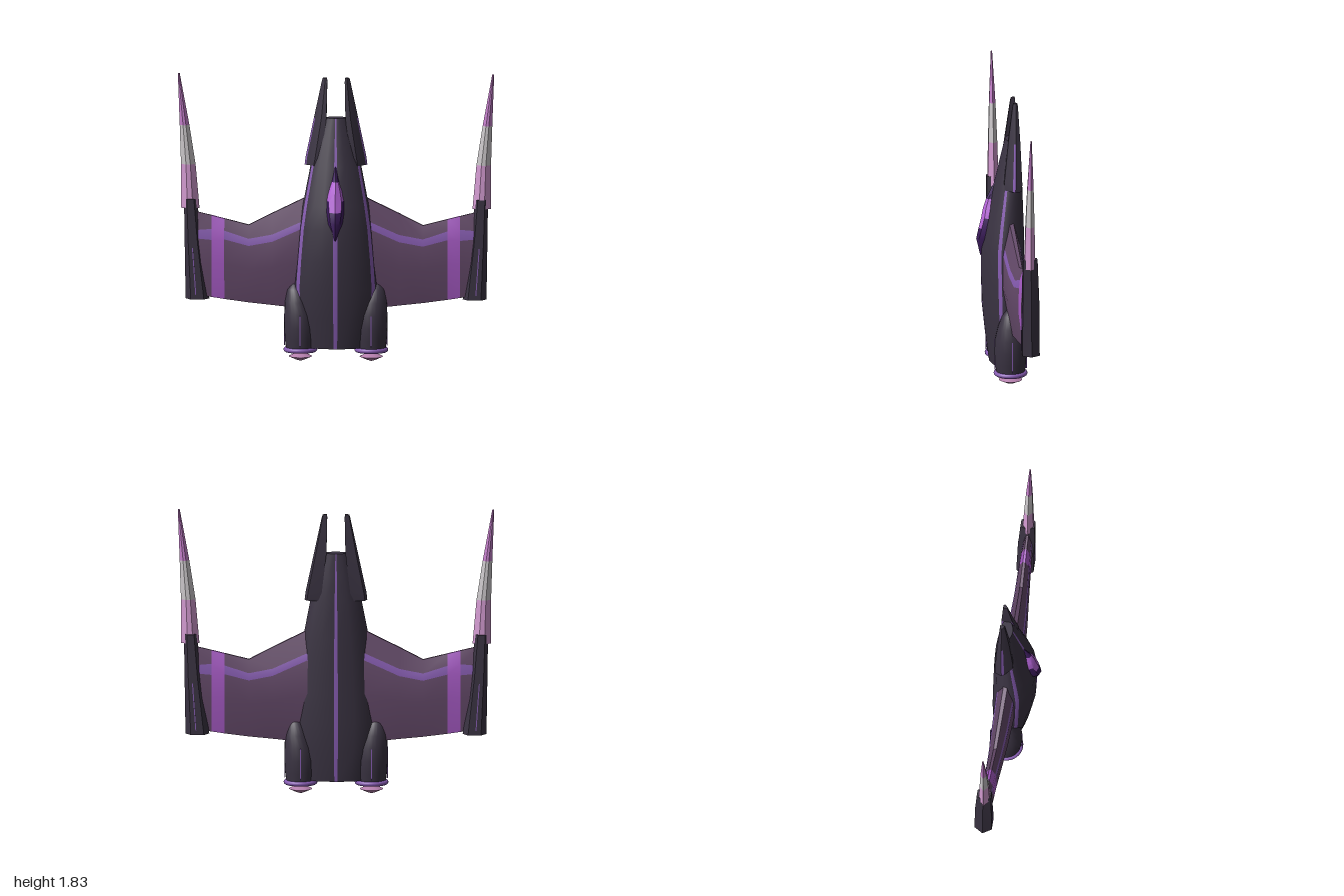
import * as THREE from 'three';
import { toCreasedNormals } from 'three/addons/utils/BufferGeometryUtils.js';

const mat = (name, color) => Object.assign(new THREE.MeshStandardMaterial({ color }), { name });
const M = {
  hull: mat('dark hull', 0x3a3342),
  wing: mat('plum wing', 0x654a6a),
  violet: mat('violet band', 0xa95cc8),
  lilac: mat('lilac stripe', 0x875cb2),
  glass: mat('deep purple canopy', 0x3c1c5c),
  glint: mat('bright orchid canopy', 0xb866dc),
  pink: mat('pink', 0xd29ad0),
  pale: mat('pale grey', 0xcbc7ca),
  orchid: mat('orchid tip', 0xc47fca),
  exhaust: mat('exhaust pink', 0xb47fac),
};

// Skin a list of closed rings; paint(row, cell) picks each quad's material; side -1 mirrors x.
function loft(name, rings, paint, { side = 1, crease = 0.6, cap = M.hull } = {}) {
  const faces = new Map();
  const tri = (m, a, b, c) => {
    if (!faces.has(m)) faces.set(m, []);
    for (const p of side > 0 ? [a, b, c] : [a, c, b]) faces.get(m).push(p[0] * side, p[1], p[2]);
  };
  const n = rings[0].length;
  for (let r = 0; r < rings.length - 1; r++) {
    for (let i = 0; i < n; i++) {
      const j = (i + 1) % n, m = paint(r, i);
      const [a, b, c, d] = [rings[r][i], rings[r][j], rings[r + 1][j], rings[r + 1][i]];
      tri(m, a, b, c);
      tri(m, a, c, d);
    }
  }
  [rings[0], rings[rings.length - 1]].forEach((ring, end) => {
    const mid = [0, 1, 2].map((k) => ring.reduce((s, p) => s + p[k], 0) / n);
    ring.forEach((p, i) => {
      const q = ring[(i + 1) % n];
      if (end) tri(cap, mid, p, q); else tri(cap, mid, q, p);
    });
  });
  const geo = new THREE.BufferGeometry(), pos = [], mats = [];
  for (const [m, list] of faces) {
    geo.addGroup(pos.length / 3, list.length / 3, mats.length);
    mats.push(m);
    for (const v of list) pos.push(v);
  }
  geo.setAttribute('position', new THREE.Float32BufferAttribute(pos, 3));
  const mesh = new THREE.Mesh(toCreasedNormals(geo, crease), mats);
  mesh.name = name;
  return mesh;
}

// Fuselage: rows of [y, half width, front z, back z]
function makeHull() {
  const rows = [
    [0.09, 0.2, 0.07, -0.13], [0.28, 0.245, 0.096, -0.147], [0.47, 0.262, 0.116, -0.15],
    [0.65, 0.25, 0.121, -0.15], [0.85, 0.231, 0.122, -0.148], [1.0, 0.208, 0.097, -0.146],
    [1.25, 0.16, 0.041, -0.137], [1.4, 0.117, 0.006, -0.125], [1.55, 0.072, -0.03, -0.11],
  ];
  // half section, front to back, as fractions of the half width and half depth
  const half = [[0.055, 1], [0.36, 0.9], [0.65, 0.7], [0.87, 0.4], [0.95, 0.25], [1, 0],
    [0.95, -0.35], [0.78, -0.7], [0.45, -0.93], [0.05, -1]];
  const section = [...half, ...half.map(([x, z]) => [-x, z]).reverse()];
  const rings = rows.map(([y, w, f, b]) =>
    section.map(([x, z]) => [x * w, y, (f + b) / 2 + z * (f - b) / 2]));
  const stripes = [3, 9, 15, 19];
  return loft('fuselage', rings, (r, i) => (stripes.includes(i) ? M.lilac : M.hull), { crease: 0.7 });
}

// Canopy: rows of [y, half width, ridge z, base z]
function makeCanopy() {
  const rows = [[0.79, 0.008, 0.128, 0.1], [0.9, 0.05, 0.153, 0.1], [0.97, 0.063, 0.138, 0.08],
    [1.04, 0.065, 0.121, 0.06], [1.1, 0.05, 0.11, 0.05], [1.16, 0.028, 0.09, 0.04],
    [1.25, 0.008, 0.046, 0.02]];
  const rings = rows.map(([y, w, t, b]) => [[0, y, t], [w * 0.6, y, t * 0.75 + b * 0.25],
    [w, y, b], [-w, y, b], [-w * 0.6, y, t * 0.75 + b * 0.25]]);
  const bright = (r, i) => r === 3 || r === 4 || (r === 2 && (i === 0 || i === 4));
  return loft('canopy', rings, (r, i) => (bright(r, i) ? M.glint : M.glass), { cap: M.glass });
}

// Wing: rows of [x, leading y, stripe top, stripe bottom, trailing y, front z, back z]
function makeWing(side) {
  const rows = [
    [0.17, 1.055, 0.915, 0.87, 0.33, 0.02, -0.115],
    [0.4, 0.942, 0.81, 0.765, 0.355, 0.003, -0.112],
    [0.55, 0.865, 0.78, 0.735, 0.37, -0.012, -0.108],
    [0.705, 0.904, 0.83, 0.775, 0.39, -0.025, -0.106],
    [0.785, 0.924, 0.84, 0.77, 0.402, -0.031, -0.104],
    [0.9, 0.952, 0.83, 0.78, 0.42, -0.038, -0.102],
  ];
  const rings = rows.map(([x, le, s1, s2, te, f, b]) => {
    const c = (f + b) / 2, h = (f - b) / 2;
    const pts = [[le, 0.2], [s1, 0.75], [s2, 0.9], [s2 * 0.6 + te * 0.4, 1], [te, 0.25]];
    return [...pts.map(([y, k]) => [x, y, c + k * h]),
      ...pts.map(([y, k]) => [x, y, c - k * h]).reverse()];
  });
  const paint = (r, i) => (r === 3 ? M.violet : i === 1 || i === 7 ? M.lilac : M.wing);
  return loft('wing', rings, paint, { side, cap: M.wing });
}

// Six-sided section used by wingtip pods and spears
const hexRing = (y, x0, x1, z0, z1, flat) => {
  const c = (x0 + x1) / 2, m = (z0 + z1) / 2, k = (x1 - x0) / 2 * flat;
  return [[c - k, y, z1], [c + k, y, z1], [x1, y, m], [c + k, y, z0], [c - k, y, z0], [x0, y, m]];
};

function makeWingtip(side) {
  const g = new THREE.Group();
  g.name = 'wingtip';
  g.add(loft('wingtipPod', [
    hexRing(0.39, 0.8, 0.95, -0.135, -0.025, 0.55),
    hexRing(0.75, 0.85, 0.956, -0.13, -0.026, 0.55),
    hexRing(1.03, 0.878, 0.96, -0.118, -0.028, 0.55),
  ], () => M.hull, { side, crease: 0.3 }));
  // thin seam lines on both faces of the pod
  for (const z of [-0.0245, -0.134]) {
    const seam = new THREE.Mesh(new THREE.BoxGeometry(0.006, 0.3, 0.004), M.lilac);
    seam.position.set(side * 0.895, 0.57, z);
    seam.rotation.z = -side * 0.07;
    seam.rotation.x = z < -0.1 ? 0.014 : 0;
    seam.name = 'podSeam';
    g.add(seam);
  }
  g.add(loft('spear', [
    hexRing(0.97, 0.862, 0.978, -0.105, -0.035, 0.3),
    hexRing(1.25, 0.887, 0.979, -0.098, -0.042, 0.3),
    hexRing(1.5, 0.926, 0.987, -0.09, -0.05, 0.3),
    hexRing(1.83, 0.987, 0.999, -0.074, -0.066, 0.3),
  ], (r) => [M.pink, M.pale, M.orchid][r], { side, crease: 0.3, cap: M.pink }));
  return g;
}

// Nose prong: rows of [y, inner x, outer x, back z, front z]
function makeProng(side) {
  const rows = [[1.25, 0.1, 0.198, -0.115, -0.01], [1.3, 0.09, 0.192, -0.118, -0.01],
    [1.55, 0.06, 0.139, -0.112, -0.04], [1.78, 0.055, 0.09, -0.102, -0.07],
    [1.8, 0.058, 0.084, -0.1, -0.075]];
  const rings = rows.map(([y, a, b, z0, z1]) => {
    const w = b - a, d = z1 - z0;
    return [[a, y, z1], [a + w * 0.4, y, z1], [b - w * 0.1, y, z0 + d * 0.55], [b, y, z0 + d * 0.4],
      [b - w * 0.15, y, z0], [a, y, z0]];
  });
  const paint = (r, i) => (r < 2 && i === 2 || r === 1 && i === 5 ? M.lilac : M.hull);
  return loft('noseProng', rings, paint, { side, crease: 0.3 });
}

function makeEngine(side) {
  const g = new THREE.Group();
  g.name = 'engine';
  g.position.set(side * 0.224, 0, -0.037);
  const lathe = (name, pts, m, crease) => {
    const geo = new THREE.LatheGeometry(pts.map(([r, y]) => new THREE.Vector2(r, y)), 24);
    const mesh = new THREE.Mesh(toCreasedNormals(geo, crease), m);
    mesh.name = name;
    g.add(mesh);
    return mesh;
  };
  // nacelle, its tapered top leaning outward
  const lean = (y) => side * 0.03 * THREE.MathUtils.smoothstep(y, 0.25, 0.5);
  const shell = [[0, 0.075], [0.09, 0.075], [0.098, 0.14], [0.103, 0.22], [0.098, 0.3],
    [0.082, 0.38], [0.056, 0.46], [0.03, 0.495], [0, 0.505]];
  const body = lathe('nacelle', shell, M.hull, 0.7);
  const p = body.geometry.attributes.position;
  for (let i = 0; i < p.count; i++) p.setX(i, p.getX(i) + lean(p.getY(i)));
  // thin lines along the nacelle
  for (const a of [0, 1, 2, 3]) {
    const line = new THREE.Mesh(new THREE.BoxGeometry(0.007, 0.2, 0.006), M.lilac);
    line.position.set(Math.sin(a * Math.PI / 2) * 0.1, 0.2, Math.cos(a * Math.PI / 2) * 0.1);
    line.rotation.y = a * Math.PI / 2;
    line.name = 'nacelleLine';
    g.add(line);
  }
  const ring = new THREE.Mesh(new THREE.TorusGeometry(0.092, 0.015, 10, 32), M.lilac);
  ring.rotation.x = Math.PI / 2;
  ring.position.y = 0.074;
  ring.name = 'nozzleRing';
  g.add(ring);
  lathe('exhaustCone', [[0, 0], [0.03, 0.01], [0.074, 0.03], [0.03, 0.052], [0.02, 0.08]], M.exhaust, 0.3);
  return g;
}

export function createModel() {
  const model = new THREE.Group();
  model.name = 'starfighter';
  model.add(makeHull(), makeCanopy());
  for (const side of [1, -1]) {
    const half = new THREE.Group();
    half.name = side > 0 ? 'leftSide' : 'rightSide';
    half.add(makeWing(side), makeWingtip(side), makeProng(side), makeEngine(side));
    model.add(half);
  }
  return model;
}
